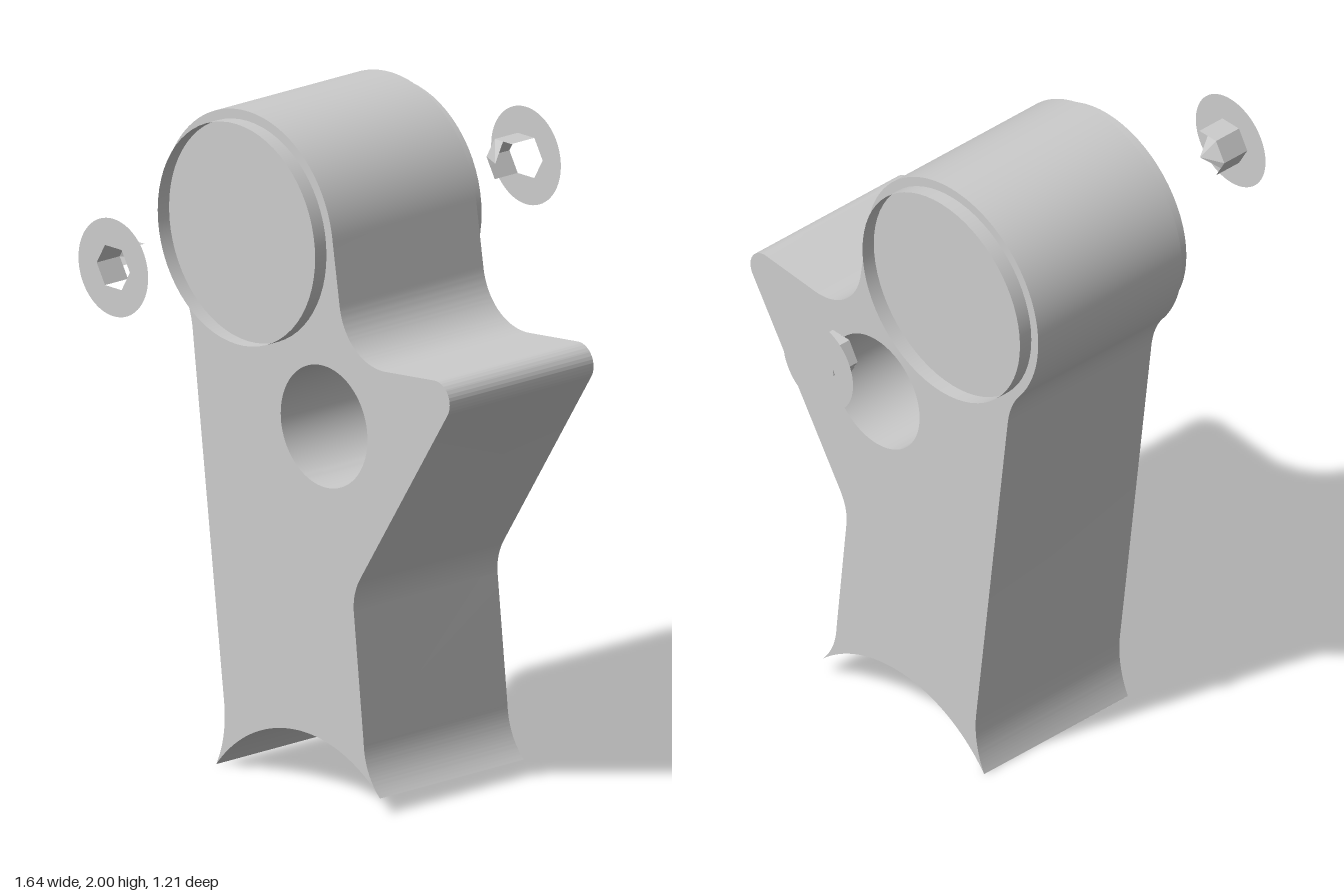
import * as THREE from 'three';
import { toCreasedNormals } from 'three/addons/utils/BufferGeometryUtils.js';

const deg = THREE.MathUtils.degToRad;
const HEAD = { z: -0.244, y: 1.639, r: 0.361 };
const HALF_WIDTH = 0.285;

export function createModel() {
  const model = new THREE.Group();
  const grey = new THREE.MeshStandardMaterial({ color: 0xcccccc });
  grey.name = 'grey';
  const thinGrey = new THREE.MeshStandardMaterial({ color: 0xcccccc, side: THREE.DoubleSide });
  thinGrey.name = 'thin grey';

  const add = (name, geometry, material, parent = model) => {
    const mesh = new THREE.Mesh(geometry, material);
    mesh.name = name;
    parent.add(mesh);
    return mesh;
  };

  // Bracket body: side outline drawn with shape x = model z
  const s = new THREE.Shape();
  s.moveTo(0.3137, 0.0492);
  s.quadraticCurveTo(0.25, 0.11, 0.245, 0.2);
  s.lineTo(0.203, 0.59);
  s.quadraticCurveTo(0.199, 0.642, 0.228, 0.69);
  s.absarc(0.547, 1.3, 0.061, deg(-33), deg(96), false);
  s.lineTo(0.34, 1.342);
  s.bezierCurveTo(0.24, 1.332, 0.157, 1.4, 0.143, 1.5);
  s.absarc(HEAD.z, HEAD.y, HEAD.r, deg(7), deg(219), false);
  s.quadraticCurveTo(-0.485, 1.363, -0.476, 1.29);
  s.lineTo(-0.343, 0.19);
  s.quadraticCurveTo(-0.333, 0.09, -0.377, 0.001);
  s.absarc(-0.01, -0.286, 0.466, deg(142), deg(46), true);
  s.closePath();
  const bore = new THREE.Path();
  bore.absarc(0.078, 1.12, 0.183, 0, Math.PI * 2, true);
  s.holes.push(bore);
  const body = new THREE.ExtrudeGeometry(s, { depth: 2 * HALF_WIDTH, bevelEnabled: false, curveSegments: 40 });
  body.rotateY(-Math.PI / 2).translate(HALF_WIDTH, 0, 0);
  add('bracketBody', toCreasedNormals(body, deg(25)), grey);

  // Hexagon corners as [y, z] offsets, starting at the front point
  const hex = [...Array(6)].map((_, i) => [0.07 * Math.sin(i * Math.PI / 3), 0.07 * Math.cos(i * Math.PI / 3)]);

  for (const side of [1, -1]) {
    const label = side > 0 ? 'left' : 'right';

    // Thin open collar standing on each end of the head
    const collar = new THREE.CylinderGeometry(0.332, 0.332, 0.045, 64, 1, true);
    collar.rotateZ(Math.PI / 2);
    add(label + 'Collar', collar, thinGrey).position.set(side * (HALF_WIDTH + 0.0225), HEAD.y, HEAD.z);

    // Detached washer with a hexagonal socket
    const fastener = new THREE.Group();
    fastener.name = label + 'Fastener';
    fastener.position.set(0, HEAD.y, HEAD.z);
    model.add(fastener);

    const outer = 0.818 * side, inner = 0.727 * side;
    const ring = new THREE.Shape();
    ring.absarc(0, 0, 0.147, 0, Math.PI * 2, false);
    ring.holes.push(new THREE.Path(hex.map(([y, z]) => new THREE.Vector2(z, y)).reverse()));
    const washer = new THREE.ShapeGeometry(ring, 32);
    washer.rotateY(side * Math.PI / 2);
    add('washer', washer, thinGrey, fastener).position.x = outer;

    // Socket walls: top and the two rear flats
    const points = [];
    for (const i of [1, 2, 3]) {
      const [ay, az] = hex[i], [by, bz] = hex[i + 1];
      points.push(outer, ay, az, inner, ay, az, inner, by, bz);
      points.push(outer, ay, az, inner, by, bz, outer, by, bz);
    }
    // Partial pointed bottom
    const rim = [[0.061, 0], hex[2], hex[3], [-0.025, -0.056]];
    for (let i = 0; i < 3; i++) {
      points.push(0.696 * side, 0, 0, inner, ...rim[i], inner, ...rim[i + 1]);
    }
    const socket = new THREE.BufferGeometry();
    socket.setAttribute('position', new THREE.Float32BufferAttribute(points, 3));
    socket.computeVertexNormals();
    add('hexSocket', socket, thinGrey, fastener);
  }
  return model;
}
